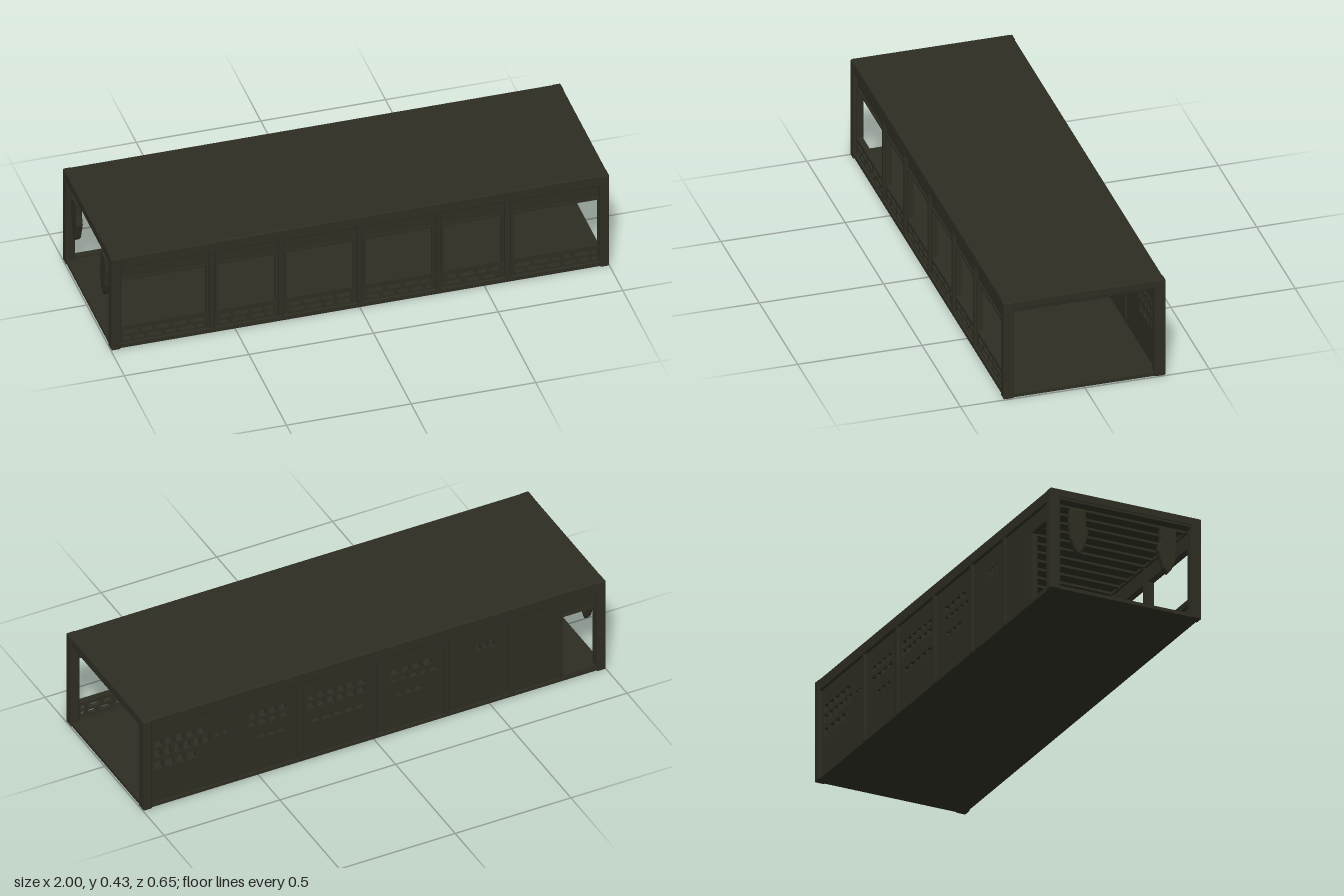
import * as THREE from 'three';
import { RoundedBoxGeometry } from 'three/addons/geometries/RoundedBoxGeometry.js';

export function createModel() {
  const model = new THREE.Group();
  const olive = new THREE.MeshStandardMaterial({ color: 0x2e2d23 });
  olive.name = 'darkOlive';

  const add = (name, geometry) => {
    const mesh = new THREE.Mesh(geometry, olive);
    mesh.name = name;
    model.add(mesh);
    return mesh;
  };
  // Block given by its limits on each axis
  const block = (name, x0, x1, y0, y1, z0, z1, radius = 0) => {
    const size = [x1 - x0, y1 - y0, z1 - z0];
    const geometry = radius
      ? new RoundedBoxGeometry(...size, 2, radius)
      : new THREE.BoxGeometry(...size);
    add(name, geometry).position.set((x0 + x1) / 2, (y0 + y1) / 2, (z0 + z1) / 2);
  };
  const rect = (x0, x1, y0, y1) => [[x0, y0], [x1, y0], [x1, y1], [x0, y1]]
    .map(([x, y]) => new THREE.Vector2(x, y));
  // Upright wall with holes, spanning z0 to z1
  const wall = (name, outline, holes, z0, z1) => {
    const shape = new THREE.Shape(outline);
    holes.forEach((points) => shape.holes.push(new THREE.Path(points)));
    const geometry = new THREE.ExtrudeGeometry(shape, { depth: z1 - z0, bevelEnabled: false });
    add(name, geometry).position.z = z0;
  };

  // Floor, roof and the beams over the open ends
  block('floor', -0.995, 0.995, 0.003, 0.017, -0.32, 0.32);
  block('roof', -0.997, 0.997, 0.39, 0.425, -0.322, 0.322, 0.005);
  for (const s of [-1, 1]) {
    block('endBeam', s * 0.975 - 0.02, s * 0.975 + 0.02, 0.38, 0.424, -0.32, 0.32, 0.005);
    block('eaveBeam', -0.995, 0.995, 0.375, 0.424, s * 0.303 - 0.02, s * 0.303 + 0.02, 0.005);
  }
  for (let i = 0; i < 28; i++) {
    const x = -0.93 + i * 0.069;
    block('roofRafter', x - 0.009, x + 0.009, 0.38, 0.392, -0.29, 0.29);
  }

  // Corner posts and slimmer posts between the bays
  const posts = [-0.593, -0.315, 0, 0.315, 0.593];
  for (const s of [-1, 1]) {
    for (const x of [-0.98, 0.98]) {
      block('cornerPost', x - 0.019, x + 0.019, 0, 0.424, s * 0.304 - 0.022, s * 0.304 + 0.022, 0.006);
    }
    for (const x of posts) {
      block('bayPost', x - 0.011, x + 0.011, 0.005, 0.4, s * 0.304 - 0.018, s * 0.304 + 0.018, 0.005);
    }
  }

  // Front wall: six open bays above a pierced stone-pattern base
  const edges = [-0.98, ...posts, 0.98];
  const bays = edges.slice(0, -1).map((x, i) => [x + 0.021, edges[i + 1] - 0.021]);
  wall('frontWall', rect(-0.98, 0.98, 0.085, 0.39),
    bays.map(([a, b]) => rect(a, b, 0.096, 0.312)), 0.29, 0.308);
  for (const [a, b] of bays) {
    wall('windowFrame', rect(a - 0.006, b + 0.006, 0.088, 0.32),
      [rect(a + 0.003, b - 0.003, 0.098, 0.31)], 0.3, 0.314);
  }
  block('frontBaseRail', -0.98, 0.98, 0.003, 0.024, 0.29, 0.321, 0.004);

  let seed = 7;
  const random = () => (seed = (seed * 16807) % 2147483647) / 2147483647;
  const stoneHoles = [];
  for (const [a, b] of bays) {
    for (const y of [0.04, 0.068]) {
      let x = a + 0.004;
      while (x < b - 0.03) {
        const w = Math.min(0.045 + random() * 0.035, b - x);
        const lean = (random() - 0.5) * 0.005;
        const points = [];
        for (let k = 0; k < 10; k++) {
          const t = (k / 10) * Math.PI * 2, c = Math.cos(t), s = Math.sin(t);
          points.push(new THREE.Vector2(
            x + w / 2 + Math.sign(c) * Math.sqrt(Math.abs(c)) * (w / 2 - 0.004),
            y + lean * c + Math.sign(s) * Math.sqrt(Math.abs(s)) * 0.009));
        }
        stoneHoles.push(points);
        x += w;
      }
    }
  }
  wall('stoneBase', rect(-0.98, 0.98, 0.018, 0.09), stoneHoles, 0.293, 0.312);

  // Back wall: a doorway and broken lattice windows
  // Each lattice row: start x, end x, bottom y, top y, number of holes
  const lattice = [
    [-0.53, -0.44, 0.265, 0.3, 3],
    [-0.26, -0.07, 0.272, 0.298, 4], [-0.28, -0.07, 0.237, 0.252, 5], [-0.22, -0.09, 0.165, 0.183, 3],
    [0.03, 0.29, 0.275, 0.3, 6], [0.03, 0.29, 0.235, 0.262, 6], [0.03, 0.27, 0.165, 0.182, 5],
    [0.37, 0.54, 0.27, 0.298, 4], [0.36, 0.55, 0.235, 0.255, 4], [0.38, 0.5, 0.17, 0.182, 3],
    [0.62, 0.69, 0.24, 0.255, 2],
    [0.72, 0.95, 0.275, 0.305, 5], [0.7, 0.95, 0.225, 0.262, 6], [0.76, 0.95, 0.17, 0.205, 4],
  ];
  const backHoles = [rect(-0.96, -0.82, 0.024, 0.305)];
  for (const [x0, x1, y0, y1, n] of lattice) {
    const step = (x1 - x0) / n;
    for (let i = 0; i < n; i++) {
      backHoles.push(rect(x0 + i * step + 0.006, x0 + (i + 1) * step - 0.006, y0, y1));
    }
  }
  wall('backWall', rect(-0.98, 0.98, 0.005, 0.39), backHoles, -0.312, -0.292);
  wall('doorFrame', rect(-0.968, -0.81, 0.015, 0.315), [rect(-0.96, -0.82, 0.024, 0.305)], -0.317, -0.29);

  // Pointed hanging blades at the right end
  const blade = [[-0.03, 0.356], [-0.012, 0.36], [0.034, 0.354], [0.037, 0.3], [0.031, 0.23],
    [0.014, 0.188], [0, 0.172], [-0.018, 0.19], [-0.033, 0.235], [-0.042, 0.262], [-0.03, 0.3]];
  for (const [z, s] of [[0.185, 1], [-0.2, -1]]) {
    const shape = new THREE.Shape(blade.map(([u, y]) => new THREE.Vector2(u * s, y)));
    const geometry = new THREE.ExtrudeGeometry(shape,
      { depth: 0.01, bevelThickness: 0.008, bevelSize: 0.006, bevelOffset: -0.004, bevelSegments: 2 });
    const mesh = add('hangingBlade', geometry);
    mesh.rotation.y = -Math.PI / 2;
    mesh.position.set(-0.975, 0, z);
  }
  return model;
}
